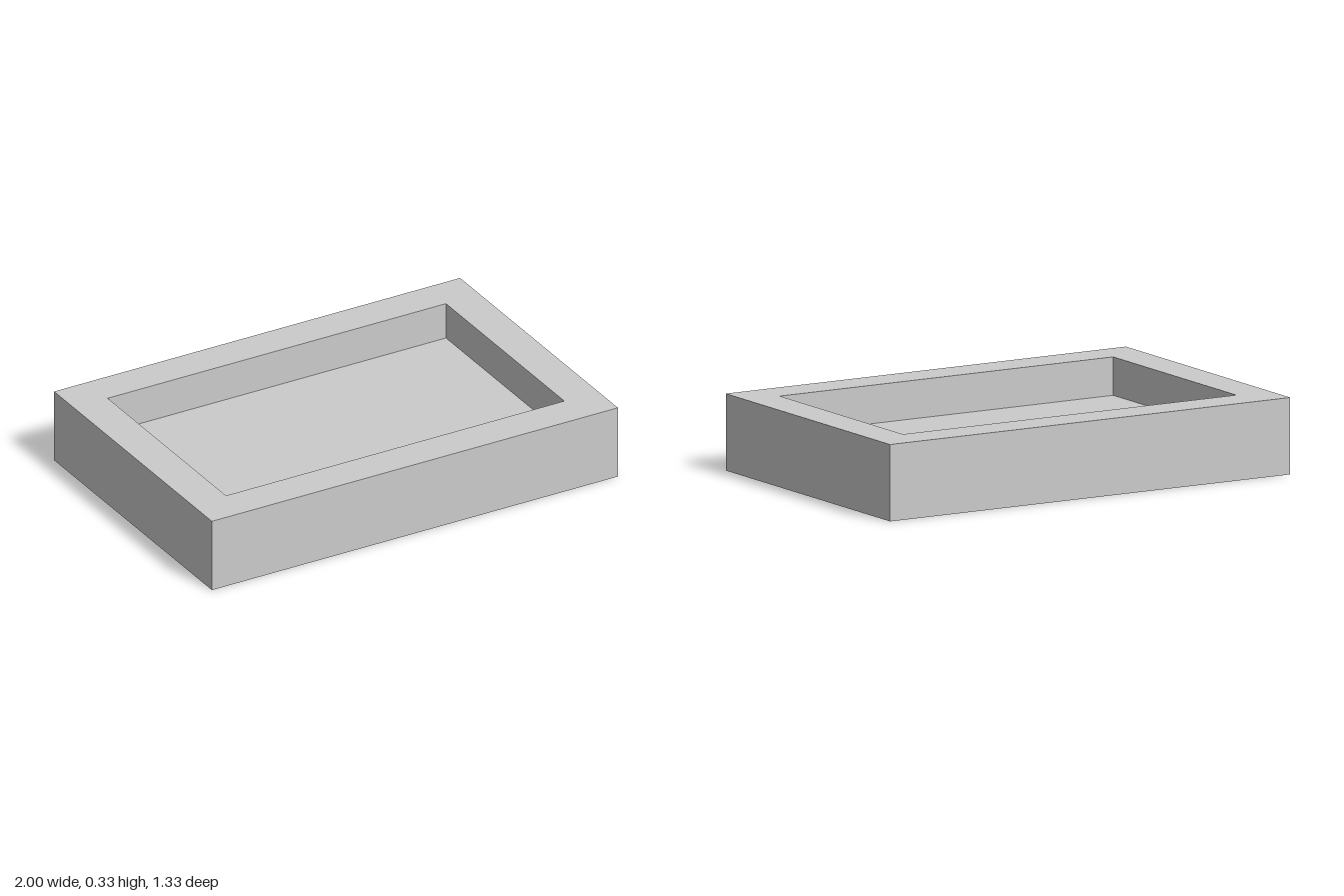
import * as THREE from 'three';

// Corners of a horizontal rectangle, counter-clockwise seen from above
function rectangle(halfX, y, halfZ) {
  return [[-1, 1], [1, 1], [1, -1], [-1, -1]].map(([sx, sz]) => [sx * halfX, y, sz * halfZ]);
}

// Joins successive rectangles with flat quads and caps both ends
function skinRectangles(rings) {
  const positions = [];
  const quad = (a, b, c, d) => positions.push(...a, ...b, ...c, ...a, ...c, ...d);

  quad(...[...rings[0]].reverse());
  for (let r = 0; r < rings.length - 1; r++) {
    const from = rings[r], to = rings[r + 1];
    for (let i = 0; i < 4; i++) {
      const j = (i + 1) % 4;
      quad(from[i], from[j], to[j], to[i]);
    }
  }
  quad(...rings[rings.length - 1]);

  const geometry = new THREE.BufferGeometry();
  geometry.setAttribute('position', new THREE.Float32BufferAttribute(positions, 3));
  geometry.computeVertexNormals();
  return geometry;
}

export function createModel() {
  const length = 2, width = 4 / 3, height = 1 / 3;
  const wall = 1 / 6, floorY = 1 / 6;
  const outerX = length / 2, outerZ = width / 2;
  const innerX = outerX - wall, innerZ = outerZ - wall;

  // Open tray: underside, outer walls, rim, inner walls, recessed floor
  const tray = new THREE.Mesh(
    skinRectangles([
      rectangle(outerX, 0, outerZ),
      rectangle(outerX, height, outerZ),
      rectangle(innerX, height, innerZ),
      rectangle(innerX, floorY, innerZ),
    ]),
    new THREE.MeshStandardMaterial({ color: 0xcccccc, flatShading: true })
  );
  tray.name = 'tray';

  const model = new THREE.Group();
  model.name = 'rectangularTray';
  model.add(tray);
  return model;
}
